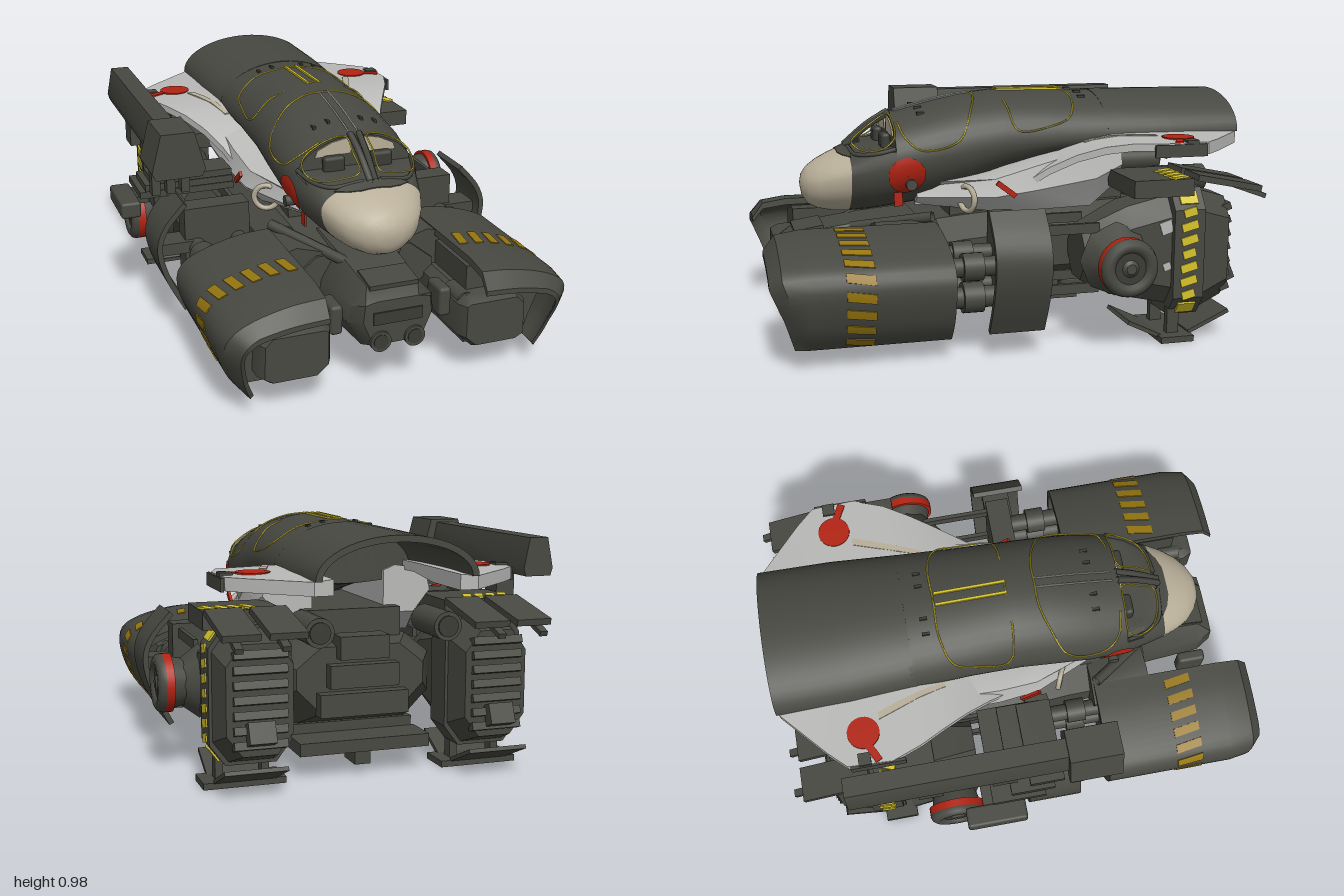
import * as THREE from 'three';
import { toCreasedNormals } from 'three/addons/utils/BufferGeometryUtils.js';
import { RoundedBoxGeometry } from 'three/addons/geometries/RoundedBoxGeometry.js';

const material = (name, color) => {
  const m = new THREE.MeshStandardMaterial({ color, side: THREE.DoubleSide });
  m.name = name;
  return m;
};

// Skin through closed loops of [x, y, z] points, back to front, with ladder caps.
function loft(sections, crease = 0.6) {
  const n = sections[0].length, last = (sections.length - 1) * n, index = [];
  for (let i = 0; i < sections.length - 1; i++)
    for (let j = 0; j < n; j++) {
      const a = i * n + j, b = i * n + (j + 1) % n;
      index.push(a, b, b + n, a, b + n, a + n);
    }
  for (let j = 0; j < n / 2 - 1; j++) {
    const q = [j, j + 1, n - 2 - j, n - 1 - j];
    index.push(q[0], q[2], q[1], q[0], q[3], q[2]);
    index.push(...[0, 1, 2, 0, 2, 3].map(k => last + q[k]));
  }
  const g = new THREE.BufferGeometry();
  g.setAttribute('position', new THREE.Float32BufferAttribute(sections.flat(2), 3));
  g.setIndex(index);
  return toCreasedNormals(g, crease);
}
const at = (pts, z) => pts.map(([x, y]) => [x, y, z]);
const prism = (pts, z0, z1) => loft([at(pts, z0), at(pts, z1)]);

// Offset an open 2D line to its right, and thicken it into a loop.
const offset = (pts, d) => pts.map(([x, y], i) => {
  const a = pts[Math.max(0, i - 1)], b = pts[Math.min(pts.length - 1, i + 1)];
  const l = Math.hypot(b[0] - a[0], b[1] - a[1]);
  return [x + d * (b[1] - a[1]) / l, y - d * (b[0] - a[0]) / l];
});
const shell = (pts, t) => [...pts, ...offset(pts, -t).reverse()];

function mirrored(geo) {
  const g = (geo.index ? geo.toNonIndexed() : geo.clone()).scale(-1, 1, 1);
  for (const attr of Object.values(g.attributes)) {
    const { array, itemSize: s } = attr;
    for (let i = 0; i < array.length; i += 3 * s)
      for (let k = 0; k < s; k++) [array[i + k], array[i + s + k]] = [array[i + s + k], array[i + k]];
  }
  return g;
}

// Fuselage stations: z, half width, top, widest height, bottom.
const STATIONS = [
  [-0.45, 0.29, 0.96, 0.79, 0.72], [-0.2, 0.278, 0.968, 0.78, 0.68], [0, 0.272, 0.972, 0.77, 0.62],
  [0.15, 0.274, 0.958, 0.75, 0.56], [0.3, 0.275, 0.925, 0.73, 0.52], [0.45, 0.26, 0.885, 0.7, 0.5],
  [0.53, 0.238, 0.835, 0.68, 0.49], [0.625, 0.208, 0.755, 0.66, 0.485], [0.69, 0.18, 0.73, 0.64, 0.488],
  [0.745, 0.145, 0.703, 0.62, 0.5], [0.785, 0.1, 0.675, 0.61, 0.52], [0.808, 0.055, 0.645, 0.605, 0.555], [0.815, 0.015, 0.615, 0.605, 0.595]];
function station(z) {
  let i = 0;
  while (i < STATIONS.length - 2 && STATIONS[i + 1][0] < z) i++;
  const a = STATIONS[i], b = STATIONS[i + 1], t = (z - a[0]) / (b[0] - a[0]);
  return a.map((v, k) => v + (b[k] - v) * t);
}
const surf = (z, angle, out = 0) => {
  const [, w, top, mid, low] = station(z), s = Math.sin(angle);
  return [(w + out) * Math.cos(angle), mid + (s > 0 ? top - mid + out : mid - low + out) * s, z];
};
const ring = z => Array.from({ length: 40 }, (_, i) => surf(z, i * Math.PI / 20));
const sideX = (z, y) => {
  const [, w, top, mid, low] = station(z);
  return w * Math.sqrt(Math.max(0, 1 - ((y - mid) / (y > mid ? top - mid : mid - low)) ** 2));
};
const topY = (z, x) => {
  const [, w, top, mid] = station(z);
  return mid + (top - mid) * Math.sqrt(1 - (x / w) ** 2);
};
const wingY = z => 0.8 - 0.9 * Math.max(0, z + 0.5) ** 2;

export function createModel() {
  const model = new THREE.Group();
  const ship = new THREE.Group();
  ship.name = 'dropship';
  ship.position.x = 0.037;
  model.add(ship);
  const hull = material('olive grey hull', 0x474841), dark = material('dark recess', 0x3a3b35);
  const beige = material('beige', 0xb9af99), white = material('pale grey', 0xb9b9b8);
  const red = material('red', 0xb32312), yellow = material('yellow', 0xd6c42a), ochre = material('worn ochre', 0x96760f);

  const add = (name, geo, mat) => {
    const m = new THREE.Mesh(geo, mat);
    m.name = name;
    ship.add(m);
  };
  const pair = (name, geo, mat) => { add(name + 'Left', geo, mat); add(name + 'Right', mirrored(geo), mat); };
  const box = (w, h, d, x, y, z, tilt = 0) => new THREE.BoxGeometry(w, h, d).rotateX(tilt).translate(x, y, z);
  const round = (w, h, d, r, x, y, z) => new RoundedBoxGeometry(w, h, d, 2, r).translate(x, y, z);
  const tube = (r0, r1, len, x, y, z, axis = 'z', sides = 24) => {
    const g = new THREE.CylinderGeometry(r0, r1, len, sides);
    if (axis === 'z') g.rotateX(Math.PI / 2);
    if (axis === 'x') g.rotateZ(-Math.PI / 2);
    return g.translate(x, y, z);
  };

  // Fuselage, open cockpit sill, nose and the arch at the tail
  const zs = STATIONS.map(s => s[0]);
  add('fuselage', loft(zs.slice(0, 6).map(ring)), hull);
  add('cockpitSill', loft(zs.slice(5, 8).map(z => ring(z).map(([x, y]) => [x, Math.min(y, 0.762), z]))), hull);
  add('noseCone', loft(zs.slice(7).map(ring), 1), beige);
  pair('noseVisor', loft([0.62, 0.65, 0.665].map((z, i) => {
    const row = o => Array.from({ length: 8 }, (_, k) => surf(z, 0.75 + i * 0.25 + (1.6 - 0.75 - i * 0.25) * k / 7, o));
    return [...row(0.004), ...row(-0.004).reverse()];
  })), hull);
  const arch = (z, w, top, base) => {
    const line = (d) => Array.from({ length: 25 }, (_, i) => {
      const a = i * Math.PI / 24;
      return [(w - d) * Math.cos(a), base + (top - base - d) * Math.sin(a), z];
    });
    return [...line(0), ...line(0.025).reverse()];
  };
  add('tailArch', loft([arch(-1, 0.31, 0.955, 0.8), arch(-0.7, 0.308, 0.96, 0.79), arch(-0.43, 0.292, 0.963, 0.78)]), hull);

  // Lines drawn along the fuselage skin: window frame and yellow seams
  const seam = (name, pts, closed = false, mat = yellow, r = 0.0035, out = 0.004) => pair(name, new THREE.TubeGeometry(
    new THREE.CatmullRomCurve3(pts.map(([z, a]) => new THREE.Vector3(...surf(z, a, out))), closed), 48, r, 5, closed), mat);
  pair('cockpitWall', prism([[0.02, 0.815], [0.17, 0.81], [0.16, 0.838], [0.1, 0.866], [0.05, 0.876], [0.02, 0.878]], 0.449, 0.456), beige);
  pair('cockpitSeat', round(0.09, 0.07, 0.04, 0.015, 0.1, 0.785, 0.475), dark);
  seam('windowPost', [[0.44, 1.5], [0.53, 1.51], [0.63, 1.52]], false, hull, 0.014);
  seam('windowRim', [[0.45, 0.38], [0.53, 0.45], [0.6, 0.75], [0.62, 1.4]], false, hull, 0.009, 0);
  seam('windowSeam', [[0.455, 0.6], [0.45, 1.05], [0.46, 1.4], [0.53, 1.4], [0.6, 1.38], [0.6, 1], [0.565, 0.62], [0.5, 0.48]], true, yellow, 0.0035, 0.011);
  seam('frontDoorSeam', [[0.1, 1.57], [0.1, 1.25], [0.13, 0.85], [0.2, 0.25], [0.35, 0.22], [0.41, 0.55], [0.43, 1]]);
  seam('rearDoorSeam', [[-0.02, 1.57], [-0.02, 0.8], [-0.05, 0.28], [-0.18, 0.32], [-0.27, 0.5], [-0.31, 1], [-0.31, 1.57]]);
  pair('roofStripe', box(0.011, 0.008, 0.29, 0.024, 0.972, -0.16, -0.012), yellow);
  seam('foreRoofLine', [[0.1, 1.5], [0.25, 1.5], [0.42, 1.5]], false, white);
  for (const z of [-0.36, 0.33]) for (const x of [0.07, 0.13]) pair('roofLug', box(0.012, 0.015, 0.03, x, topY(z, x), z), dark);

  // Red discs on the cabin sides
  const disc = new THREE.RingGeometry(0.001, 0.075, 28, 5).rotateY(Math.PI / 2).translate(0, 0.66, 0.41);
  const p = disc.attributes.position;
  for (let i = 0; i < p.count; i++) p.setX(i, sideX(p.getZ(i), p.getY(i)) + 0.005);
  disc.computeVertexNormals();
  pair('sideDisc', disc, red);
  pair('sideDiscTail', box(0.008, 0.07, 0.035, 0.21, 0.565, 0.44), red);
  pair('sidePort', tube(0.022, 0.022, 0.05, 0.25, 0.625, 0.395, 'x', 16), hull);
  pair('redLever', box(0.012, 0.022, 0.095, 0.352, 0.605, 0.025, -0.65), red);

  // Pale flanks below the cabin
  const flank = (z, w, low, top) => [[0.15, low, z], [w - 0.07, low, z], [w, (low + top) / 2, z], [w - 0.02, top, z], [0.2, top + 0.02, z], [0.15, top, z]];
  pair('flank', loft([flank(-0.47, 0.35, 0.6, 0.77), flank(-0.35, 0.37, 0.51, 0.76), flank(-0.1, 0.355, 0.5, 0.69), flank(0.06, 0.33, 0.5, 0.64), flank(0.36, 0.2, 0.52, 0.6)]), white);
  pair('flankRing', new THREE.TorusGeometry(0.05, 0.012, 6, 24).rotateY(0.42).translate(0.277, 0.56, 0.17), beige);

  // Swept stub wings that droop forwards into the flanks
  const wing = [[-0.99, 0.31], [-0.82, 0.5], [-0.75, 0.567], [-0.57, 0.575], [-0.45, 0.53], [-0.35, 0.475], [-0.25, 0.42], [-0.15, 0.37], [-0.05, 0.325]];
  pair('wing', loft(wing.map(([z, x]) => {
    const y = wingY(z), t = z < -0.7 ? 0.05 : 0.03;
    return [[0.24, y - t, z], [x, y - t, z], [x, y, z], [0.24, y + 0.008, z]];
  }), 0.4), white);
  pair('wingTipRail', box(0.012, 0.05, 0.22, 0.574, 0.77, -0.63), hull);
  pair('wingDisc', tube(0.065, 0.065, 0.01, 0.443, 0.803, -0.67, 'y', 28), red);
  pair('wingMark', new THREE.BoxGeometry(0.1, 0.009, 0.03).rotateY(-0.45).translate(0.52, 0.802, -0.645), red);
  pair('wingLatch', box(0.05, 0.02, 0.05, 0.55, 0.8, -0.68), hull);
  pair('wingStreak', loft([[-0.6, 0.37, 0.4], [-0.52, 0.342, 0.372], [-0.42, 0.31, 0.335], [-0.32, 0.285, 0.305]].map(([z, a, b]) => {
    const y = wingY(z) + 0.009;
    return [[a, y - 0.009, z], [b, y - 0.009, z], [b, y, z], [a, y, z]];
  })), beige);

  // Chassis, deck and underside
  const tub = (z, w, low, top) => [[w - 0.1, low, z], [w, low + 0.1, z], [w, top - 0.08, z], [w - 0.1, top, z], [-w + 0.1, top, z], [-w, top - 0.08, z], [-w, low + 0.1, z], [-w + 0.1, low, z]];
  add('chassis', loft([tub(-0.62, 0.26, 0.24, 0.5), tub(-0.5, 0.33, 0.18, 0.52), tub(0, 0.34, 0.17, 0.5), tub(0.2, 0.32, 0.17, 0.48), tub(0.56, 0.3, 0.22, 0.44)]), hull);
  add('deck', box(0.4, 0.16, 0.75, 0, 0.55, -0.15), hull);
  for (let i = 0; i < 6; i++) {
    add('bellyRib', box(0.5, 0.04, 0.06, 0, 0.165, -0.5 + i * 0.15), hull);
    pair('bellyBox', round(0.12, 0.06, 0.1, 0.015, 0.13 + (i % 2) * 0.08, 0.17, -0.44 + i * 0.15), hull);
  }
  for (let i = 0; i < 5; i++) add('bellyStripe', box(0.04, 0.006, 0.05, -0.16 + i * 0.08, 0.143, -0.35), yellow);
  add('tailSkidPlate', box(0.53, 0.05, 0.16, 0, 0.12, -0.6), hull);
  pair('bellySkid', box(0.1, 0.03, 0.13, 0.2, 0.12, -0.25), hull);
  add('tailSkid', box(0.065, 0.1, 0.12, 0.005, 0.09, -0.6), hull);
  pair('tailEngine', tube(0.055, 0.055, 0.22, 0.25, 0.6, -0.76), hull);
  pair('tailEngineMouth', tube(0.04, 0.04, 0.01, 0.25, 0.6, -0.872), dark);
  for (let i = 0; i < 3; i++) add('rearMachinery', box(0.36 - i * 0.08, 0.09, 0.1, 0, 0.28 + i * 0.11, -0.62), hull);

  // Middle nose between the pods
  const hood = (z, w, low, top) => [[w * 0.7, low, z], [w, low + 0.1, z], [w * 0.95, low + 0.17, z], [w * 0.6, top, z],
    [-w * 0.6, top, z], [-w * 0.95, low + 0.17, z], [-w, low + 0.1, z], [-w * 0.7, low, z]];
  add('centreHood', loft([hood(0.35, 0.2, 0.17, 0.47), hood(0.6, 0.19, 0.17, 0.45), hood(0.83, 0.175, 0.18, 0.42), hood(0.89, 0.14, 0.2, 0.38)]), hull);
  add('hoodBrow', box(0.2, 0.03, 0.12, 0, 0.42, 0.79, 0.15), hull);
  add('hoodSlot', box(0.2, 0.05, 0.02, 0, 0.31, 0.886), dark);
  pair('hoodNozzle', tube(0.042, 0.042, 0.12, 0.07, 0.215, 0.84), hull);
  pair('hoodNozzleMouth', tube(0.03, 0.03, 0.01, 0.07, 0.215, 0.898), dark);
  pair('bridge', prism([[0.1, 0.3], [0.36, 0.28], [0.4, 0.45], [0.28, 0.485], [0.16, 0.45], [0.1, 0.44]], 0.3, 0.55), hull);
  pair('hoodFin', round(0.05, 0.12, 0.12, 0.015, 0.225, 0.3, 0.78), hull);
  pair('shoulderArm', new THREE.TubeGeometry(new THREE.LineCurve3(
    new THREE.Vector3(0.1, 0.43, 0.62), new THREE.Vector3(0.31, 0.5, 0.32)), 1, 0.022, 8), hull);

  // Forward pods: curved cowls with a drooping lip and worn stripes
  const curve = new THREE.SplineCurve([[0.6, 0.08], [0.665, 0.17], [0.704, 0.3], [0.68, 0.38], [0.59, 0.43], [0.45, 0.468], [0.315, 0.48]].map(v => new THREE.Vector2(...v)));
  const line = (u0, u1, n) => Array.from({ length: n + 1 }, (_, i) => curve.getPointAt(u0 + (u1 - u0) * i / n).toArray());
  const cowl = shell(line(0, 1, 24), 0.028);
  const lip = (drop, reach) => cowl.map(([x, y]) => [
    x - Math.max(0, x - 0.58) * drop, y - Math.max(0, y - 0.2) * drop * 0.55,
    0.905 + Math.min(1, Math.max(0, (y - 0.08) / 0.3)) * 0.09 - reach]);
  pair('podCowl', loft([at(cowl, 0.31), at(cowl, 0.85), lip(0.1, 0.045), lip(0.5, 0)]), hull);
  for (let i = 0; i < 10; i++) {
    const u = 0.01 + i * 0.098;
    const band = (v, z) => at(shell(offset(line(v, v + 0.052, 3), 0.004), 0.006), z);
    pair('podStripe', loft([band(u, 0.61), band(u + 0.025, 0.72)]), ochre);
  }
  pair('podCore', prism([[0.32, 0.1], [0.58, 0.1], [0.65, 0.28], [0.61, 0.37], [0.45, 0.42], [0.32, 0.43]], 0.33, 0.82), hull);
  pair('podIntake', loft([[0.4, 0], [0.87, 0], [0.91, 0.02]].map(([z, d]) => at([[0.5, 0.11 + d], [0.555 - d, 0.15], [0.55 - d, 0.28],
    [0.5, 0.33 - d], [0.3, 0.33 - d], [0.265 + d, 0.3], [0.265 + d, 0.17], [0.33, 0.11 + d]], z))), hull);
  pair('podSideKnob', tube(0.035, 0.035, 0.12, 0.305, 0.3, 0.79), hull);

  // Rams and frames joining pods to the rear nacelles
  for (const [x, y, r] of [[0.56, 0.23, 0.06], [0.56, 0.35, 0.055], [0.38, 0.23, 0.05], [0.38, 0.36, 0.05]]) {
    pair('ram', tube(r * 0.7, r * 0.7, 0.34, x, y, 0.2), hull);
    pair('ramCollar', tube(r, r, 0.08, x, y, 0.22), hull);
  }
  pair('crossFrame', box(0.28, 0.36, 0.1, 0.47, 0.34, 0.05), hull);
  for (const x of [0.365, 0.575]) for (const y of [0.24, 0.48]) pair('frameRail', box(0.018, 0.04, 0.32, x, y, -0.13), hull);
  const guard = new THREE.SplineCurve([[0.64, 0.1], [0.715, 0.25], [0.745, 0.38], [0.715, 0.48], [0.63, 0.58]].map(v => new THREE.Vector2(...v)));
  pair('sideGuard', prism(shell(guard.getPoints(14).map(v => v.toArray()), 0.022), -0.05, 0.17), hull);
  pair('guardBrace', box(0.14, 0.05, 0.12, 0.65, 0.36, 0.06), hull);

  // Rear nacelles with striped bands and louvred exhausts
  const nac = (z, x0, x1, low, top) => [[x1 - 0.06, low, z], [x1, low + 0.08, z], [x1, top - 0.08, z], [x1 - 0.06, top, z], [x0 + 0.06, top, z], [x0, top - 0.08, z], [x0, low + 0.08, z], [x0 + 0.06, low, z]];
  pair('nacelle', loft([nac(-0.6, 0.33, 0.6, 0.14, 0.59), nac(-0.42, 0.33, 0.6, 0.18, 0.55), nac(-0.24, 0.34, 0.56, 0.25, 0.46)]), hull);
  pair('nacelleBand', loft([nac(-0.72, 0.31, 0.625, 0.1, 0.62), nac(-0.59, 0.31, 0.625, 0.1, 0.62)]), hull);
  pair('exhaustHousing', loft([nac(-0.84, 0.34, 0.59, 0.16, 0.57), nac(-0.71, 0.32, 0.615, 0.11, 0.61)]), hull);
  for (let i = 0; i < 7; i++) {
    pair('exhaustLouvre', box(0.2, 0.03, 0.04, 0.465, 0.2 + i * 0.055, -0.84, 0.35), hull);
    pair('bandStripe', box(0.008, 0.034, i % 3 ? 0.07 : 0.055, 0.626, 0.195 + i * 0.056, -0.655, 0.25), yellow);
    if (i < 4) pair('bandLowStripe', box(0.03, 0.008, 0.07, 0.39 + i * 0.05, 0.1, -0.655), yellow);
    if (i < 4) pair('coverStripe', new THREE.BoxGeometry(0.034, 0.008, 0.08).rotateY(0.4).translate(0.45 + i * 0.05, 0.671, -0.61), yellow);
  }
  for (const y of [0.135, 0.585]) pair('bandCornerStripe', new THREE.BoxGeometry(0.008, 0.055, 0.075)
    .rotateZ(y > 0.3 ? 0.64 : -0.64).translate(0.599, y, -0.655), yellow);
  for (const [y, z, s] of [[0.47, -0.565, 0.05], [0.31, -0.57, 0.03]]) pair('chippedPanel', box(0.008, s, s, 0.6, y, z, 0.3), white);

  // Side thrusters with red rings
  pair('thrusterBase', tube(0.09, 0.15, 0.08, 0.62, 0.35, -0.36, 'x', 8), hull);
  pair('thrusterBarrel', tube(0.112, 0.09, 0.1, 0.69, 0.35, -0.36, 'x', 32), hull);
  pair('thrusterRing', tube(0.115, 0.115, 0.034, 0.712, 0.35, -0.36, 'x', 32), red);
  pair('thrusterLip', new THREE.TorusGeometry(0.087, 0.029, 10, 32).rotateY(Math.PI / 2).translate(0.73, 0.35, -0.36), hull);
  pair('thrusterMouth', tube(0.07, 0.07, 0.01, 0.739, 0.35, -0.36, 'x', 24), dark);
  pair('thrusterPin', tube(0.02, 0.045, 0.02, 0.745, 0.35, -0.36, 'x', 16), hull);

  // Upper flaps and landing feet
  for (const x of [0.39, 0.56]) {
    pair('upperFlap', box(0.14, 0.025, 0.28, x, 0.64, -0.82, -0.2), hull);
    pair('flapSpike', box(0.03, 0.02, 0.18, x + 0.02, 0.605, -0.91, -0.35), hull);
  }
  pair('upperCover', box(0.3, 0.07, 0.25, 0.48, 0.632, -0.54), hull);
  pair('tailTab', box(0.1, 0.08, 0.05, 0.47, 0.25, -0.87, 0.4), hull);
  pair('footPad', box(0.32, 0.025, 0.14, 0.48, 0.014, -0.61), hull);
  pair('footToe', box(0.24, 0.016, 0.17, 0.48, 0.05, -0.49, -0.45), hull);
  pair('footHeel', box(0.24, 0.016, 0.19, 0.48, 0.068, -0.76, 0.42), hull);
  for (const x of [0.39, 0.57]) pair('footLeg', box(0.03, 0.12, 0.05, x, 0.07, -0.61), hull);

  // Long launcher on one side with its mount
  const bx = -0.675;
  const launcher = (w, low, top) => [[bx + w * 0.85, low], [bx + w, low + 0.03], [bx + w * 0.62, top], [bx - w * 0.62, top], [bx - w, low + 0.03], [bx - w * 0.85, low]];
  add('launcherBody', prism(launcher(0.062, 0.76, 0.91), -0.77, 0.12), hull);
  add('launcherHead', prism(launcher(0.107, 0.74, 0.923), 0.1, 0.31), hull);
  for (const x of [-0.06, 0, 0.06]) add('launcherStrut', box(0.035, 0.13, 0.05, bx + x, 0.69, 0.14), hull);
  for (const z of [-0.45, -0.15]) add('launcherHanger', box(0.08, 0.12, 0.1, bx, 0.71, z), hull);
  for (let i = 0; i < 3; i++) add('mountArm', box(0.4 - i * 0.03, 0.028, 0.22 - i * 0.04, -0.57, 0.57 + i * 0.045, -0.1 + i * 0.06), hull);
  add('mountPost', box(0.08, 0.16, 0.14, -0.66, 0.56, -0.12), hull);
  add('mountLight', box(0.04, 0.02, 0.008, -0.6, 0.63, 0.02), red);
  add('ammoBox', round(0.085, 0.07, 0.25, 0.012, -0.793, 0.475, -0.2), hull);
  add('ammoBoxArm', box(0.14, 0.03, 0.1, -0.7, 0.49, -0.2), hull);
  return model;
}
